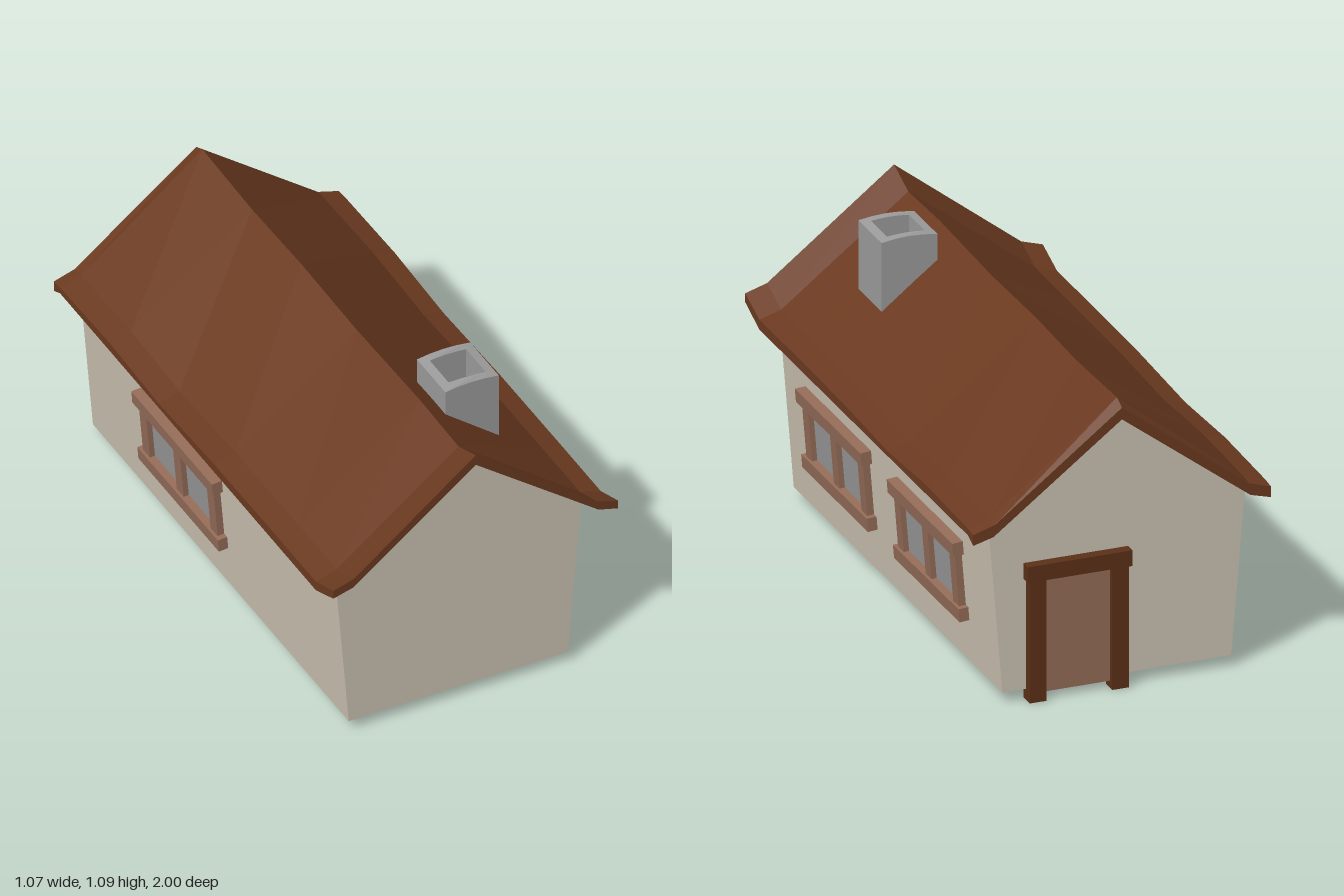
import * as THREE from 'three';

const paint = (color) => new THREE.MeshStandardMaterial({ color, flatShading: true });
const MAT = {
  wall: paint(0xcdc3b3), roof: paint(0x6b3a20), darkWood: paint(0x5c3018),
  wood: paint(0x956d59), glass: paint(0x999999), stone: paint(0x9c9c9c),
};

// Box given by its min and max corners
function box(parent, name, mat, [x0, y0, z0], [x1, y1, z1]) {
  const mesh = new THREE.Mesh(new THREE.BoxGeometry(x1 - x0, y1 - y0, z1 - z0), mat);
  mesh.position.set((x0 + x1) / 2, (y0 + y1) / 2, (z0 + z1) / 2);
  mesh.name = name;
  parent.add(mesh);
  return mesh;
}

// Gabled walls, leaning outward toward the eaves
function makeWalls() {
  const shape = new THREE.Shape([[-0.41, 0.04], [0.41, 0.04], [0.46, 0.65], [0, 1.0], [-0.46, 0.65]]
    .map(([x, y]) => new THREE.Vector2(x, y)));
  const geo = new THREE.ExtrudeGeometry(shape, { depth: 1.83, bevelEnabled: false });
  const mesh = new THREE.Mesh(geo, MAT.wall);
  mesh.position.z = -0.955;
  mesh.name = 'walls';
  return mesh;
}

// Sagging roof: one thick cross-section repeated along z with small offsets
function makeRoof() {
  // z, ridge offset, eave offset, underside offset
  const stations = [
    [1, 0.047, 0.045, 0.049], [0.875, 0, 0, 0], [0.6, 0.007, 0, 0], [0.15, -0.006, -0.003, 0],
    [-0.25, 0, -0.018, 0], [-0.6, -0.011, -0.003, 0], [-0.955, 0, -0.012, 0], [-1, -0.02, -0.017, -0.02],
  ];
  const pos = [], idx = [], n = 10;
  for (const [z, ridge, eave, under] of stations) {
    const top = [[0.533, 0.666 + eave], [0.455, 0.69 + eave], [0, 1.042 + ridge],
      [-0.455, 0.69 + eave], [-0.533, 0.666 + eave]];
    const bottom = [[-0.533, 0.63 + under], [-0.46, 0.65 + under], [0, 1.0 + under],
      [0.46, 0.65 + under], [0.533, 0.63 + under]];
    for (const [x, y] of [...top, ...bottom]) pos.push(x, y, z);
  }
  const last = (stations.length - 1) * n;
  for (let s = 0; s < last; s += n) {
    for (let i = 0; i < n; i++) {
      const a = s + i, b = s + (i + 1) % n;
      idx.push(a, a + n, b, b, a + n, b + n);
    }
  }
  // gable end caps
  for (let i = 0; i < 4; i++) {
    const a = i, b = i + 1, c = 8 - i, d = 9 - i;
    idx.push(a, b, c, a, c, d);
    idx.push(last + a, last + c, last + b, last + a, last + d, last + c);
  }
  const geo = new THREE.BufferGeometry();
  geo.setAttribute('position', new THREE.Float32BufferAttribute(pos, 3));
  geo.setIndex(idx);
  geo.computeVertexNormals();
  const mesh = new THREE.Mesh(geo, MAT.roof);
  mesh.name = 'roof';
  return mesh;
}

// Hollow chimney with a slightly arched top
function makeChimney() {
  const ring = (hx, hz) => {
    const pts = [], seg = 4;
    for (let i = 0; i <= seg; i++) pts.push(new THREE.Vector2(-hx + (2 * hx * i) / seg, -hz));
    for (let i = 0; i <= seg; i++) pts.push(new THREE.Vector2(hx - (2 * hx * i) / seg, hz));
    return pts;
  };
  const shape = new THREE.Shape(ring(0.1, 0.102));
  shape.holes.push(new THREE.Path(ring(0.068, 0.07)));
  const geo = new THREE.ExtrudeGeometry(shape, { depth: 0.28, bevelEnabled: false });
  geo.rotateX(-Math.PI / 2);
  const p = geo.attributes.position;
  for (let i = 0; i < p.count; i++) {
    if (p.getY(i) > 0.2) p.setY(i, 0.289 - 0.9 * p.getX(i) ** 2);
  }
  geo.computeVertexNormals();
  const group = new THREE.Group();
  group.name = 'chimney';
  const stack = new THREE.Mesh(geo, MAT.stone);
  stack.name = 'chimneyStack';
  group.add(stack);
  box(group, 'flueFloor', MAT.stone, [-0.07, 0.1, -0.072], [0.07, 0.17, 0.072]);
  group.position.set(0.175, 0.8, 0.537);
  return group;
}

// Two-pane window tilted with the wall; side is +1 (left) or -1 (right)
function makeWindow(side, z) {
  const frame = new THREE.Group();
  box(frame, 'sill', MAT.wood, [-0.006, -0.145, -0.288], [0.035, -0.097, 0.288]);
  box(frame, 'lintel', MAT.wood, [-0.006, 0.097, -0.288], [0.038, 0.145, 0.288]);
  for (const c of [-0.242, 0, 0.242]) {
    box(frame, 'windowPost', MAT.wood, [-0.006, -0.1, c - 0.025], [0.025, 0.1, c + 0.025]);
  }
  box(frame, 'glass', MAT.glass, [-0.004, -0.1, -0.22], [0.006, 0.1, 0.22]);
  frame.position.set(0.435, 0.345, 0);
  frame.rotation.z = -Math.atan2(0.05, 0.61);
  const group = new THREE.Group();
  group.name = 'window';
  group.add(frame);
  if (side < 0) group.rotation.y = Math.PI;
  group.position.z = z;
  return group;
}

// Door in the back gable
function makeDoor() {
  const group = new THREE.Group();
  group.name = 'door';
  box(group, 'doorPanel', MAT.wood, [0.02, 0.025, -0.967], [0.275, 0.45, -0.94]);
  for (const x of [-0.03, 0.265]) {
    box(group, 'doorPost', MAT.darkWood, [x, 0, -0.988], [x + 0.06, 0.445, -0.933]);
  }
  box(group, 'doorLintel', MAT.darkWood, [-0.04, 0.44, -0.994], [0.335, 0.497, -0.945]);
  return group;
}

export function createModel() {
  const model = new THREE.Group();
  model.name = 'cottage';
  model.add(makeWalls(), makeRoof(), makeChimney(), makeDoor());
  model.add(makeWindow(1, 0.395), makeWindow(1, -0.41), makeWindow(-1, -0.25));
  return model;
}
